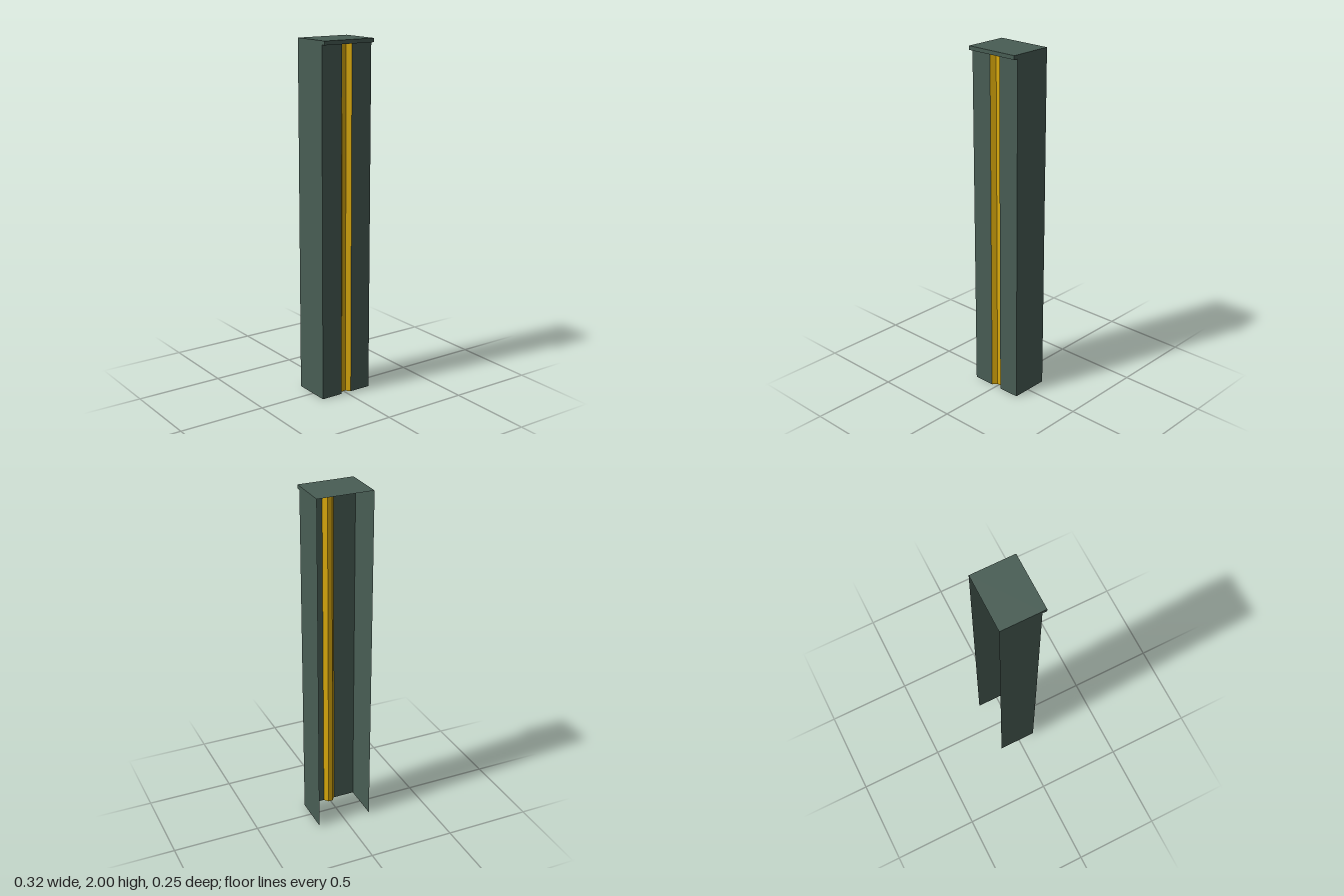
import * as THREE from 'three';

const H = 2, X = 0.16, FRONT = 0.1, BACK = -0.125, LIP = 0.125;
const green = new THREE.MeshStandardMaterial({ color: 0x485d54, side: THREE.DoubleSide, flatShading: true });
const yellow = new THREE.MeshStandardMaterial({ color: 0xdcab0c, side: THREE.DoubleSide, flatShading: true });

// Upright thin sheet following a plan outline of [x, z] points, left to right as seen from outside
function sheet(name, plan, material) {
  const pos = [];
  for (let i = 0; i < plan.length - 1; i++) {
    const [ax, az] = plan[i], [bx, bz] = plan[i + 1];
    pos.push(ax, 0, az, bx, 0, bz, bx, H, bz, ax, 0, az, bx, H, bz, ax, H, az);
  }
  const geo = new THREE.BufferGeometry();
  geo.setAttribute('position', new THREE.Float32BufferAttribute(pos, 3));
  geo.computeVertexNormals();
  const mesh = new THREE.Mesh(geo, material);
  mesh.name = name;
  return mesh;
}

export function createModel() {
  const group = new THREE.Group();
  group.name = 'column';
  const gapOuter = 0.033, gapInner = 0.013, depth = 0.025;

  // Side walls folded into the two front panels; the back and bottom stay open
  group.add(sheet('rightWall', [[-X, BACK], [-X, FRONT], [-gapOuter, FRONT]], green));
  group.add(sheet('leftWall', [[gapOuter, FRONT], [X, FRONT], [X, BACK]], green));

  // Recessed channel between the panels
  group.add(sheet('channel', [
    [-gapOuter, FRONT], [-gapInner, FRONT - depth], [gapInner, FRONT - depth], [gapOuter, FRONT],
  ], yellow));

  // Thin roof
  const roof = new THREE.Mesh(new THREE.PlaneGeometry(2 * X, FRONT - BACK).rotateX(-Math.PI / 2), green);
  roof.name = 'roof';
  roof.position.set(0, H, (FRONT + BACK) / 2);
  group.add(roof);

  // Lip overhanging the front
  const lip = new THREE.Mesh(new THREE.BoxGeometry(2 * X, 0.022, LIP - FRONT), green);
  lip.name = 'frontLip';
  lip.position.set(0, H - 0.011, (LIP + FRONT) / 2);
  group.add(lip);

  return group;
}
